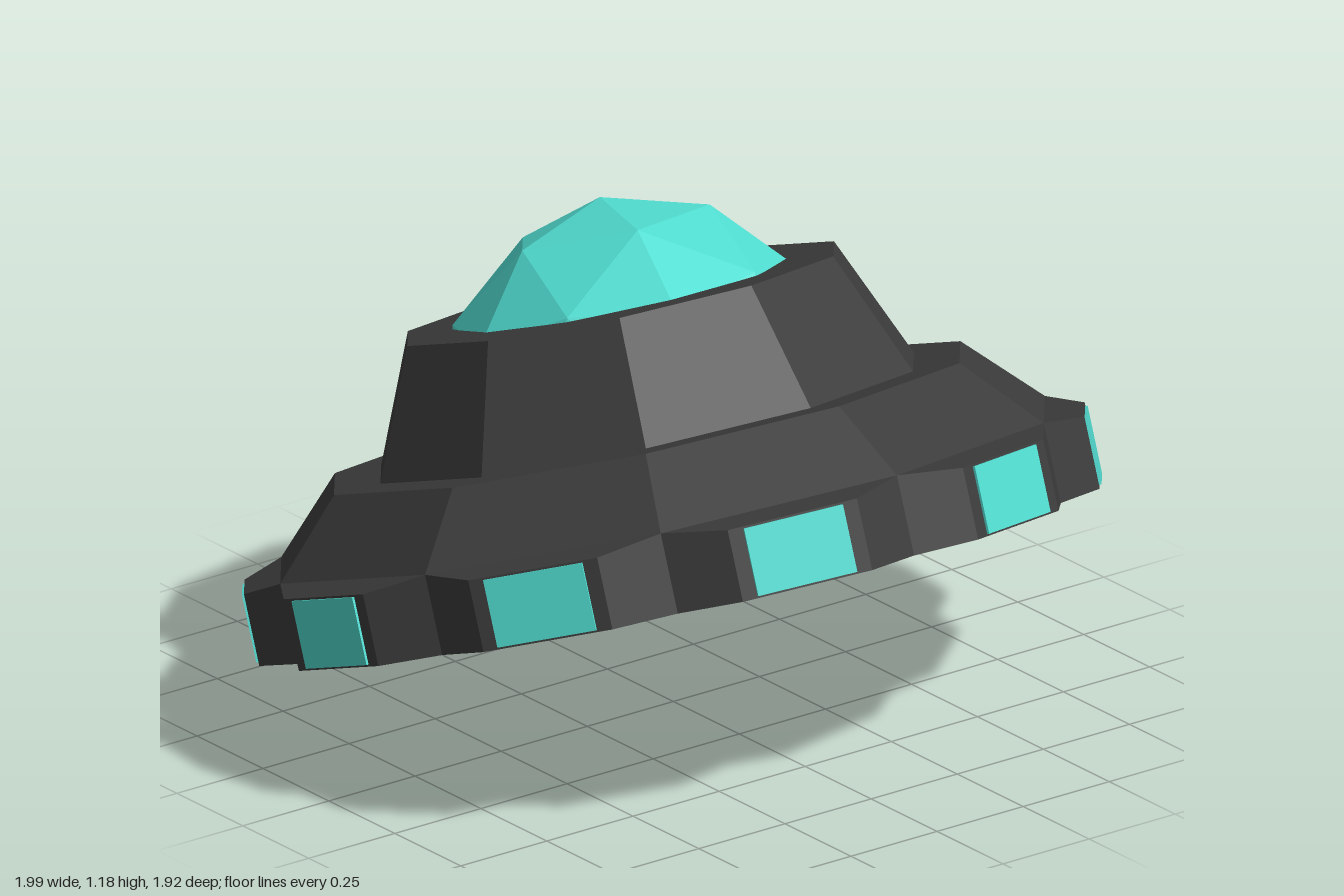
import * as THREE from 'three';

const SIDES = 10;
const STEP = (Math.PI * 2) / SIDES;
const hullMat = new THREE.MeshStandardMaterial({ color: 0x3c3c3c, flatShading: true });
const glowMat = new THREE.MeshStandardMaterial({ color: 0x51ddd1, flatShading: true });

// rim measurements
const BASE = 0.305, EDGE = 0.475, SHOULDER = 0.495;
const RIM_R = 0.946, BAY_R = 0.99, BAY_HALF = 0.16;

function add(parent, name, geometry, material, y = 0) {
  const mesh = new THREE.Mesh(geometry, material);
  mesh.name = name;
  mesh.position.y = y;
  parent.add(mesh);
  return mesh;
}

// ten-sided tapered ring standing between two heights
function tier(r0, y0, r1, y1, open = false) {
  const g = new THREE.CylinderGeometry(r1, r0, y1 - y0, SIDES, 1, open);
  return g.translate(0, (y0 + y1) / 2, 0);
}

// scalloped rim: a projecting bay on each side of a decagon
function rimGeometry() {
  const pos = [];
  const quad = (a, b, c, d) => pos.push(...a, ...b, ...c, ...a, ...c, ...d);
  const centre = [0, BASE, 0];
  const corner = (a, y) => [Math.sin(a) * RIM_R, y, Math.cos(a) * RIM_R];
  const bay = (a, s, y) => [
    Math.sin(a) * BAY_R + Math.cos(a) * s, y,
    Math.cos(a) * BAY_R - Math.sin(a) * s,
  ];
  for (let i = 0; i < SIDES; i++) {
    const a = i * STEP, m = a + STEP / 2, b = a + STEP;
    const low = [corner(a, BASE), bay(m, -BAY_HALF, BASE), bay(m, BAY_HALF, BASE), corner(b, BASE)];
    const high = [corner(a, SHOULDER), bay(m, -BAY_HALF, EDGE), bay(m, BAY_HALF, EDGE), corner(b, SHOULDER)];
    for (let k = 0; k < 3; k++) {
      quad(low[k], low[k + 1], high[k + 1], high[k]);
      pos.push(...centre, ...low[k + 1], ...low[k]);
    }
    quad(high[0], high[1], high[2], high[3]);
  }
  const g = new THREE.BufferGeometry();
  g.setAttribute('position', new THREE.Float32BufferAttribute(pos, 3));
  g.computeVertexNormals();
  return g;
}

export function createModel() {
  const model = new THREE.Group();
  model.name = 'flyingSaucer';

  // whole craft leans back, front edge raised
  const tilt = new THREE.Group();
  tilt.name = 'tiltedCraft';
  tilt.rotation.x = THREE.MathUtils.degToRad(-20);
  model.add(tilt);
  const craft = new THREE.Group();
  craft.name = 'craft';
  craft.position.set(-0.006, 0, 0.145);
  tilt.add(craft);

  // hull
  add(craft, 'rim', rimGeometry(), hullMat);
  add(craft, 'upperDeck', tier(RIM_R, SHOULDER, 0.775, 0.665), hullMat);
  add(craft, 'turret', tier(0.66, 0.665, 0.528, 0.96), hullMat);

  // faceted dome, one vertex straight up
  const dome = new THREE.IcosahedronGeometry(0.464, 1);
  dome.rotateZ(-Math.atan(2 / (1 + Math.sqrt(5)))).rotateY(Math.PI);
  add(craft, 'dome', dome, glowMat, 0.725);

  // five-sided lamp underneath
  const lamp = new THREE.CylinderGeometry(0.26, 0, 0.09, 5, 1, false, -Math.PI / 2);
  add(craft, 'bellyLamp', lamp, glowMat, 0.26);

  // a window on every bay
  const windowGeo = new THREE.BoxGeometry(0.245, 0.16, 0.02);
  for (let i = 0; i < SIDES; i++) {
    const a = (i + 0.5) * STEP;
    const w = add(craft, 'window', windowGeo, glowMat, (BASE + EDGE) / 2);
    w.position.x = Math.sin(a) * (BAY_R - 0.004);
    w.position.z = Math.cos(a) * (BAY_R - 0.004);
    w.rotation.y = a;
  }
  return model;
}
